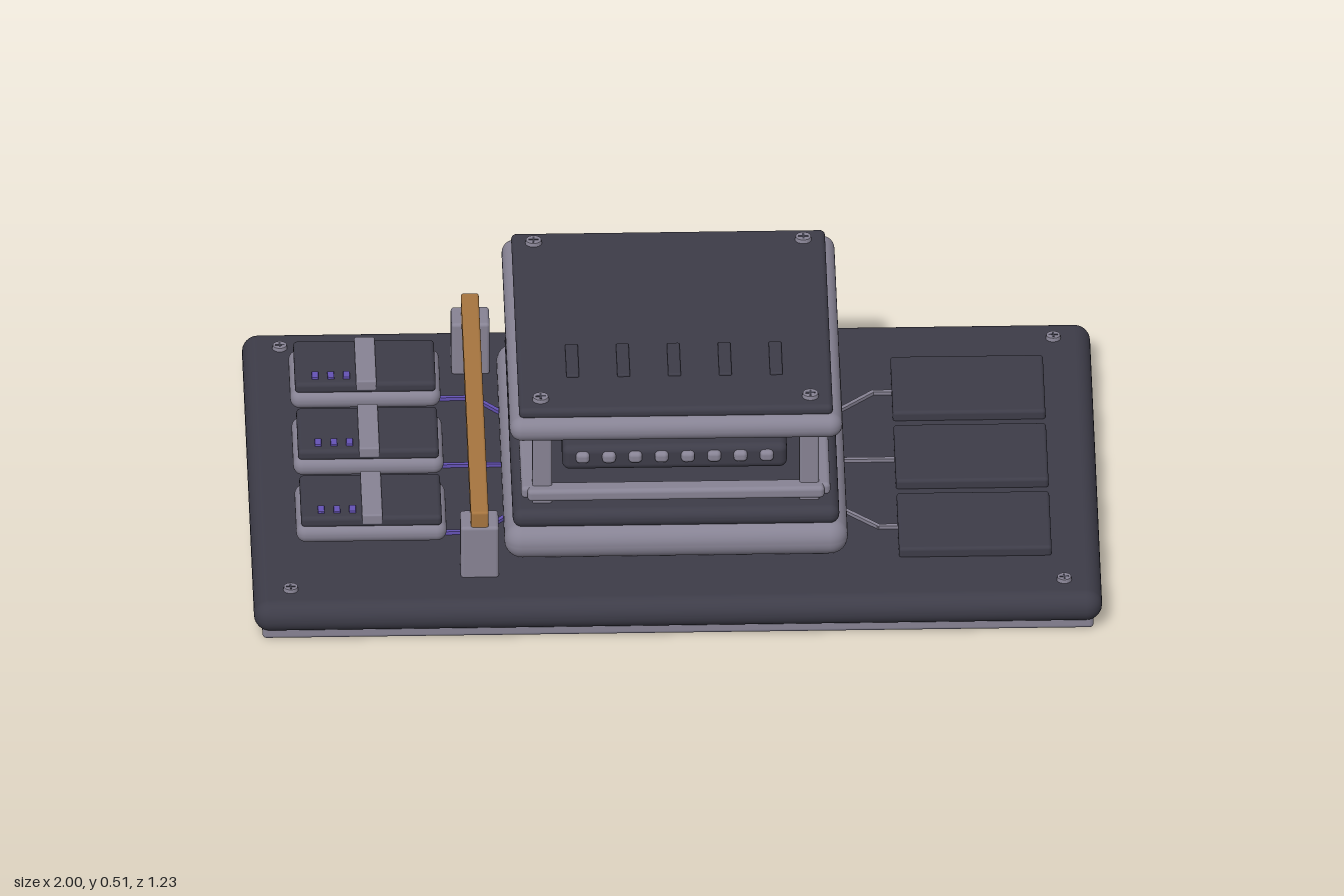
import * as THREE from 'three';
import { RoundedBoxGeometry } from 'three/addons/geometries/RoundedBoxGeometry.js';

const material = (name, color) => {
  const m = new THREE.MeshStandardMaterial({ color });
  m.name = name;
  return m;
};

export function createModel() {
  const model = new THREE.Group();
  model.name = 'circuitBoardAssembly';
  const dark = material('darkSlate', 0x3d3c48);
  const grey = material('lilacGrey', 0x878394);
  const purple = material('purple', 0x6553b5);
  const copper = material('copper', 0xa6753f);

  // Rounded block given its centre in plan, bottom and top heights
  const slab = (name, mat, x, z, w, d, y0, y1, r = 0.008, parent = model) => {
    const h = y1 - y0;
    const radius = Math.min(r, h * 0.49, w * 0.49, d * 0.49);
    const mesh = new THREE.Mesh(new RoundedBoxGeometry(w, h, d, 4, radius), mat);
    mesh.name = name;
    mesh.position.set(x, (y0 + y1) / 2, z);
    parent.add(mesh);
    return mesh;
  };

  // Screw head with a dark cross slot
  const screw = (name, x, y, z, r) => {
    const g = new THREE.Group();
    g.name = name;
    g.position.set(x, y, z);
    const head = new THREE.Mesh(new THREE.CylinderGeometry(r * 0.9, r, 0.01, 20), grey);
    head.name = 'screwHead';
    head.position.y = 0.005;
    g.add(head);
    for (const [w, d] of [[r * 1.2, r * 0.25], [r * 0.25, r * 1.2]]) {
      const slot = new THREE.Mesh(new THREE.BoxGeometry(w, 0.002, d), dark);
      slot.name = 'screwSlot';
      slot.position.y = 0.0102;
      g.add(slot);
    }
    model.add(g);
  };

  // Flat trace following points [x, z] on the board
  const trace = (name, mat, points) => {
    const g = new THREE.Group();
    g.name = name;
    for (let i = 1; i < points.length; i++) {
      const [x0, z0] = points[i - 1], [x1, z1] = points[i];
      const len = Math.hypot(x1 - x0, z1 - z0);
      const seg = new THREE.Mesh(new THREE.BoxGeometry(len + 0.008, 0.009, 0.01), mat);
      seg.name = 'traceSegment';
      seg.position.set((x0 + x1) / 2, 0.104, (z0 + z1) / 2);
      seg.rotation.y = -Math.atan2(z1 - z0, x1 - x0);
      g.add(seg);
    }
    model.add(g);
  };

  // Base board and lower plate
  slab('basePlate', grey, 0, 0, 1.96, 1.185, 0, 0.04, 0.01);
  slab('baseBoard', dark, 0, 0, 2, 1.23, 0.022, 0.1, 0.038);

  // Pedestal
  slab('pedestalLower', grey, 0, 0, 0.81, 0.86, 0.098, 0.187, 0.042);
  slab('pedestalUpper', dark, 0, 0, 0.77, 0.82, 0.18, 0.227, 0.022);

  // Rail frame round the chip
  for (const s of [-1, 1]) {
    slab('frameRailX', grey, 0, s * 0.368, 0.7, 0.045, 0.244, 0.275, 0.01);
    slab('frameRailZ', grey, s * 0.342, 0, 0.045, 0.75, 0.244, 0.275, 0.01);
  }

  // Chip stack
  slab('chipBody', dark, 0, 0, 0.53, 0.53, 0.25, 0.315, 0.018);
  slab('chipGlowLayer', purple, 0, 0, 0.445, 0.45, 0.312, 0.326, 0.005);
  slab('chipCap', dark, 0, 0, 0.42, 0.425, 0.324, 0.35, 0.01);
  for (let i = 0; i < 8; i++) {
    slab('chipPin', grey, (i - 3.5) * 0.062, 0.262, 0.032, 0.03, 0.276, 0.304, 0.01);
  }

  // Corner posts, screws and raised cover
  for (const sx of [-1, 1]) {
    for (const sz of [-1, 1]) {
      slab('coverPost', grey, sx * 0.315, sz * 0.342, 0.046, 0.048, 0.22, 0.43, 0.006);
      screw('coverScrew', sx * 0.318, 0.502, sz * 0.345, 0.02);
      screw('boardScrew', sx * 0.912, 0.099, sz * 0.532, 0.018);
    }
  }
  slab('coverLower', grey, 0, 0, 0.785, 0.83, 0.419, 0.481, 0.03);
  slab('coverUpper', dark, 0, 0, 0.74, 0.785, 0.476, 0.503, 0.012);
  for (let i = -2; i <= 2; i++) {
    slab('coverVent', dark, i * 0.12, 0.18, 0.03, 0.14, 0.498, 0.509, 0.004);
  }

  // Copper bar on two stands
  slab('copperBar', copper, -0.465, 0, 0.042, 0.97, 0.225, 0.278, 0.006);
  for (const s of [-1, 1]) {
    slab('barStand', grey, -0.465, s * 0.448, 0.09, 0.082, 0.095, 0.238, 0.008);
  }

  for (const s of [-1, 0, 1]) {
    // Raised module on the right, with strip and lights
    const module = new THREE.Group();
    module.name = 'module';
    module.position.set(-0.718, 0, s * 0.295);
    model.add(module);
    slab('moduleTray', grey, 0, 0, 0.355, 0.21, 0.138, 0.188, 0.024, module);
    slab('moduleBody', dark, 0, 0, 0.332, 0.195, 0.182, 0.21, 0.01, module);
    slab('moduleStrip', grey, 0.002, 0, 0.048, 0.197, 0.19, 0.217, 0.004, module);
    for (let i = 0; i < 3; i++) {
      slab('moduleLight', purple, -0.118 + i * 0.037, 0.063, 0.016, 0.028, 0.206, 0.215, 0.002, module);
    }

    // Low pad on the left
    slab('pad', dark, 0.705, s * 0.3, 0.36, 0.25, 0.095, 0.124, 0.008);

    // Traces from pedestal to modules and pads
    trace('moduleTrace', purple, s
      ? [[-0.71, s * 0.295], [-0.46, s * 0.295], [-0.39, s * 0.22]]
      : [[-0.71, 0], [-0.39, 0]]);
    trace('padTrace', grey, s
      ? [[0.39, s * 0.21], [0.48, s * 0.295], [0.54, s * 0.295]]
      : [[0.39, 0], [0.54, 0]]);
  }

  return model;
}
